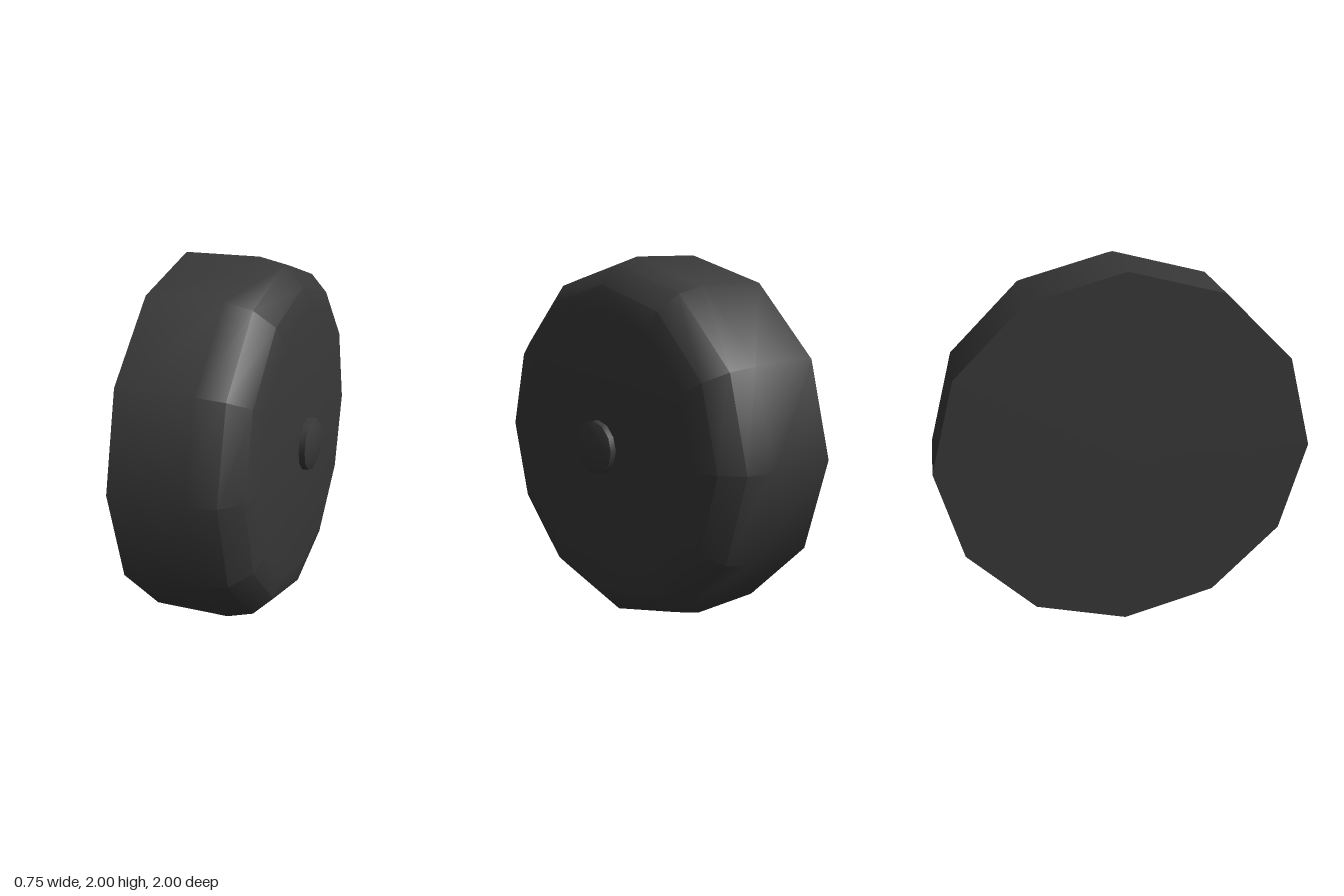
import * as THREE from 'three';
import { toCreasedNormals } from 'three/addons/utils/BufferGeometryUtils.js';

const SIDES = 12;
const rubber = new THREE.MeshStandardMaterial({ color: 0x383838 });

// Turns a profile of [radius, x] points around the x axis
function turned(name, profile, crease) {
  const points = profile.map(([r, x]) => new THREE.Vector2(r, x));
  const lathe = new THREE.LatheGeometry(points, SIDES).rotateZ(-Math.PI / 2);
  const mesh = new THREE.Mesh(toCreasedNormals(lathe, crease), rubber);
  mesh.name = name;
  mesh.position.y = 1;
  return mesh;
}

export function createModel() {
  const group = new THREE.Group();
  group.name = 'wheel';

  // Wheel body: flat back, straight tread, rounded outer shoulder
  group.add(turned('wheelBody', [
    [0, -0.375], [1, -0.375], [1, 0.04], [0.96, 0.18],
    [0.86, 0.28], [0.73, 0.31], [0, 0.317],
  ], 0.6));

  // Small bevelled cap at the axle
  group.add(turned('axleCap', [
    [0.147, 0.3], [0.147, 0.35], [0.1, 0.373], [0, 0.373],
  ], 0.55));

  return group;
}
